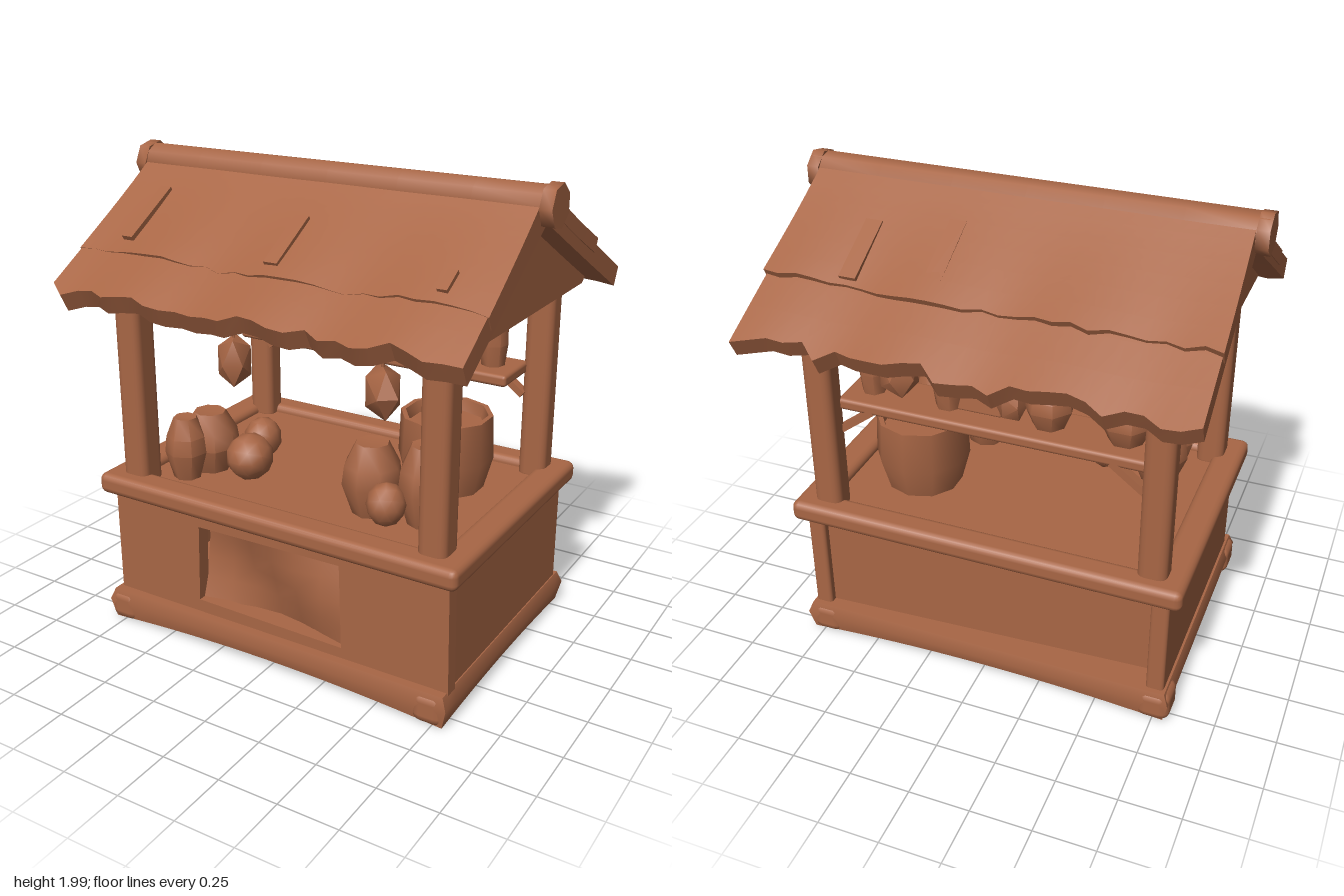
import * as THREE from 'three';
import { toCreasedNormals } from 'three/addons/utils/BufferGeometryUtils.js';
import { RoundedBoxGeometry } from 'three/addons/geometries/RoundedBoxGeometry.js';

export function createModel() {
  const stall = new THREE.Group();
  stall.name = 'marketStall';
  const wood = new THREE.MeshStandardMaterial({ color: 0xa86645, side: THREE.DoubleSide });
  wood.name = 'warm brown wood';

  let seed = 7;
  const rand = () => (seed = (seed * 16807) % 2147483647) / 2147483647;

  const add = (name, geometry, x = 0, y = 0, z = 0) => {
    const mesh = new THREE.Mesh(geometry, wood);
    mesh.name = name;
    mesh.position.set(x, y, z);
    stall.add(mesh);
    return mesh;
  };
  // softened timber given by its limits
  const timber = (name, x0, x1, y0, y1, z0, z1, r = 0.025) =>
    add(name, new RoundedBoxGeometry(x1 - x0, y1 - y0, z1 - z0, 2, r),
      (x0 + x1) / 2, (y0 + y1) / 2, (z0 + z1) / 2);
  const shapeOf = (points) => new THREE.Shape(points.map(([x, y]) => new THREE.Vector2(x, y)));

  // base plinth, bulging at mid height, its underside arching up between the corners
  const plinth = new THREE.BoxGeometry(1.63, 0.14, 1.16, 16, 2, 12);
  const pp = plinth.attributes.position;
  for (let i = 0; i < pp.count; i++) {
    const x = pp.getX(i), y = pp.getY(i), z = pp.getZ(i);
    const u = x / 0.81, v = z / 0.575;
    const inset = Math.abs(y) < 0.01 ? 1 : 0.975;
    const bottom = 0.065 - 0.035 * u * u - 0.02 * v * v;
    pp.setXYZ(i, x * inset, y > 0.01 ? 0.145 : y < -0.01 ? bottom : 0.095, z * inset + 0.015);
  }
  plinth.computeVertexNormals();
  add('base', toCreasedNormals(plinth, 0.9));
  for (const x of [-0.75, 0.73]) for (const z of [-0.49, 0.52])
    timber('foot', x - 0.07, x + 0.07, 0.005, 0.14, z - 0.075, z + 0.075, 0.04);

  // front wall with a sunken window
  const wall = shapeOf([[-0.78, 0.1], [0.8, 0.1], [0.79, 0.64], [-0.78, 0.64]]);
  wall.holes.push(shapeOf([[-0.36, 0.2], [-0.35, 0.54], [0.32, 0.55], [0.33, 0.19]]));
  add('frontWall', new THREE.ExtrudeGeometry(wall, { depth: 0.06, bevelEnabled: false }), 0, 0, 0.485);

  // folded cloth hanging in the window
  const cloth = new THREE.PlaneGeometry(0.7, 0.36, 6, 4);
  const cp = cloth.attributes.position;
  for (let i = 0; i < cp.count; i++)
    cp.setZ(i, 0.04 * Math.sin(cp.getX(i) * 7 + cp.getY(i) * 8));
  cloth.computeVertexNormals();
  add('windowCloth', cloth, -0.015, 0.37, 0.49);

  // side walls, and a back wall set askew behind its frame
  timber('sideWall', -0.785, -0.71, 0.1, 0.64, -0.53, 0.54, 0.015);
  timber('sideWall', 0.715, 0.79, 0.1, 0.64, -0.53, 0.54, 0.015);
  const back = timber('backWall', -0.74, 0.74, 0.1, 0.64, -0.46, -0.42, 0.01);
  back.rotation.y = 0.05;

  // counter, a little below its rails
  timber('counter', -0.8, 0.8, 0.59, 0.65, -0.55, 0.56, 0.015);
  timber('frontRail', -0.84, 0.835, 0.595, 0.685, 0.46, 0.59, 0.03);
  timber('backRail', -0.84, 0.835, 0.595, 0.685, -0.58, -0.46, 0.03);
  timber('sideRail', -0.84, -0.71, 0.595, 0.685, -0.57, 0.58, 0.03);
  timber('sideRail', 0.705, 0.835, 0.595, 0.685, -0.57, 0.58, 0.03);

  // posts and eave beams
  for (const x of [-0.7, 0.695]) {
    timber('frontPost', x - 0.06, x + 0.06, 0.62, 1.53, 0.395, 0.525, 0.035);
    timber('backPost', x - 0.06, x + 0.06, 0.62, 1.53, -0.52, -0.405, 0.035);
    timber('sideBeam', x - 0.05, x + 0.05, 1.45, 1.53, -0.57, 0.57);
  }
  timber('frontBeam', -0.76, 0.76, 1.45, 1.53, 0.42, 0.52);
  timber('backBeam', -0.76, 0.76, 1.45, 1.53, -0.52, -0.42);

  // gable walls
  const gable = shapeOf([[-0.65, 1.46], [0.62, 1.46], [0.66, 1.49], [-0.03, 1.87], [-0.68, 1.49]]);
  for (const x of [-0.79, 0.71]) {
    const mesh = add('gable', new THREE.ExtrudeGeometry(gable, { depth: 0.08, bevelEnabled: false }), x);
    mesh.rotation.y = Math.PI / 2;
  }

  // roof slope: s is distance fraction from ridge to eave; the eave is ragged and sagging
  const reachOf = { 1: 0.68, '-1': 0.74 };
  const slope = (name, dir, to, thickness, lift, rag, ridgeLift) => {
    const cols = 26, rows = 6, width = 1.78;
    const g = new THREE.BoxGeometry(width, thickness, 1, cols, 1, rows);
    const p = g.attributes.position;
    const edge = Array.from({ length: cols + 1 }, () => rand() - 0.5);
    for (let i = 0; i < p.count; i++) {
      const x = p.getX(i), t = p.getZ(i) * dir + 0.5;
      const col = Math.round((x / width + 0.5) * cols);
      const s = to * t + (t > 0.99 ? edge[col] * rag : 0);
      const wave = 0.012 * Math.sin(x * 11 + dir) * t * t;
      const rise = p.getY(i) + lift + wave + ridgeLift * (1 - t) ** 3;
      p.setXYZ(i, x * (0.985 + 0.02 * t), 1.91 - 0.41 * s + rise * 0.87,
        0.03 + dir * (reachOf[dir] * s + rise * 0.45));
    }
    g.computeVertexNormals();
    add(name, toCreasedNormals(g, 0.8));
  };
  slope('frontThatch', 1, 1, 0.085, -0.015, 0.07, 0);
  slope('backThatch', -1, 1, 0.085, -0.015, 0.09, 0);
  slope('upperFrontThatch', 1, 0.72, 0.06, 0.004, 0.04, 0.025);
  slope('upperBackThatch', -1, 0.66, 0.06, 0.018, 0.03, 0.015);

  // loose shingles lying on the slopes: [x, s, width, length, side]
  for (const [x, s, w, l, dir] of [[-0.69, 0.45, 0.05, 0.3, 1], [0, 0.5, 0.06, 0.26, 1],
    [0.7, 0.6, 0.04, 0.1, 1], [0.22, 0.44, 0.07, 0.36, -1], [0.55, 0.46, 0.07, 0.28, -1]]) {
    const mesh = add('shingle', new THREE.BoxGeometry(w, 0.02, l),
      x, 1.952 - 0.41 * s, 0.03 + dir * (reachOf[dir] * s + 0.015));
    mesh.rotation.x = dir * Math.atan(0.41 / reachOf[dir]);
  }

  // ridge roll
  const ridge = new THREE.CylinderGeometry(0.078, 0.078, 1.84, 9, 6);
  ridge.rotateZ(Math.PI / 2);
  add('ridgeRoll', toCreasedNormals(ridge, 0.9), 0, 1.912, 0.038);
  for (const x of [-0.905, 0.905]) {
    const end = new THREE.CylinderGeometry(0.085, 0.085, 0.05, 7);
    end.rotateZ(Math.PI / 2);
    add('ridgeEnd', toCreasedNormals(end, 0.9), x, 1.912, 0.038);
  }

  // hanging shelf and its braces
  timber('shelf', -0.65, 0.65, 1.1, 1.15, -0.44, -0.2, 0.015);
  for (const side of [-1, 1]) {
    const brace = add('shelfBrace', new THREE.BoxGeometry(0.18, 0.03, 0.04), side * 0.57, 1.06, -0.42);
    brace.rotation.z = -side * 0.65;
  }

  // goods
  const lump = (name, x, y, z, rx, ry, rz, detail = 1) => {
    const g = new THREE.IcosahedronGeometry(1, detail);
    g.scale(rx, ry, rz);
    g.rotateY(x * 5);
    add(name, toCreasedNormals(g, 0.7), x, y, z);
  };
  const pot = (name, x, y, z, profile, r, h, sides = 8) => {
    const g = new THREE.LatheGeometry(profile.map(([a, b]) => new THREE.Vector2(a * r, b * h)), sides);
    add(name, toCreasedNormals(g, 0.9), x, y, z);
  };
  const jar = [[0, 0], [0.62, 0], [1, 0.45], [0.92, 0.7], [0.55, 1], [0, 0.98]];
  const basket = [[0, 0], [0.8, 0], [1, 0.45], [0.96, 1], [0.86, 1], [0.8, 0.85], [0, 0.85]];

  // goods on the shelf
  pot('shelfJar', -0.52, 1.14, -0.31, jar, 0.105, 0.2, 7);
  pot('shelfJar', -0.21, 1.14, -0.31, jar, 0.1, 0.2, 7);
  lump('shelfFruit', -0.06, 1.23, -0.33, 0.07, 0.09, 0.07, 0);
  const box = timber('shelfBox', -0.02, 0.17, 1.14, 1.38, -0.33, -0.2, 0.01);
  box.rotation.x = 0.1;
  pot('shelfPot', 0.21, 1.14, -0.32, basket, 0.065, 0.21, 7);
  lump('shelfGourd', 0.43, 1.25, -0.31, 0.1, 0.11, 0.09, 0);
  pot('shelfPot', 0.54, 1.14, -0.32, basket, 0.06, 0.22, 7);

  // gourds hanging from the front beam
  for (const [x, r] of [[-0.21, 0.095], [0.45, 0.12]]) {
    lump('hangingGourd', x, 1.26, 0.45, r, 0.11, 0.075, 0);
    add('gourdString', new THREE.CylinderGeometry(0.005, 0.005, 0.14, 5), x, 1.4, 0.45);
  }

  // goods on the counter
  pot('counterJar', -0.52, 0.64, 0.22, jar, 0.125, 0.27);
  pot('counterJar', -0.55, 0.64, 0.35, jar, 0.09, 0.28, 7);
  lump('melon', -0.28, 0.77, 0.27, 0.105, 0.1, 0.1);
  lump('melon', -0.31, 0.8, 0.13, 0.085, 0.09, 0.08);
  pot('counterJar', 0.29, 0.64, 0.24, jar, 0.125, 0.31);
  pot('counterJar', 0.52, 0.64, 0.22, jar, 0.115, 0.34);
  lump('melon', 0.41, 0.75, 0.34, 0.08, 0.09, 0.08);
  pot('largeBasket', 0.42, 0.64, -0.15, basket, 0.2, 0.33, 10);

  return stall;
}
